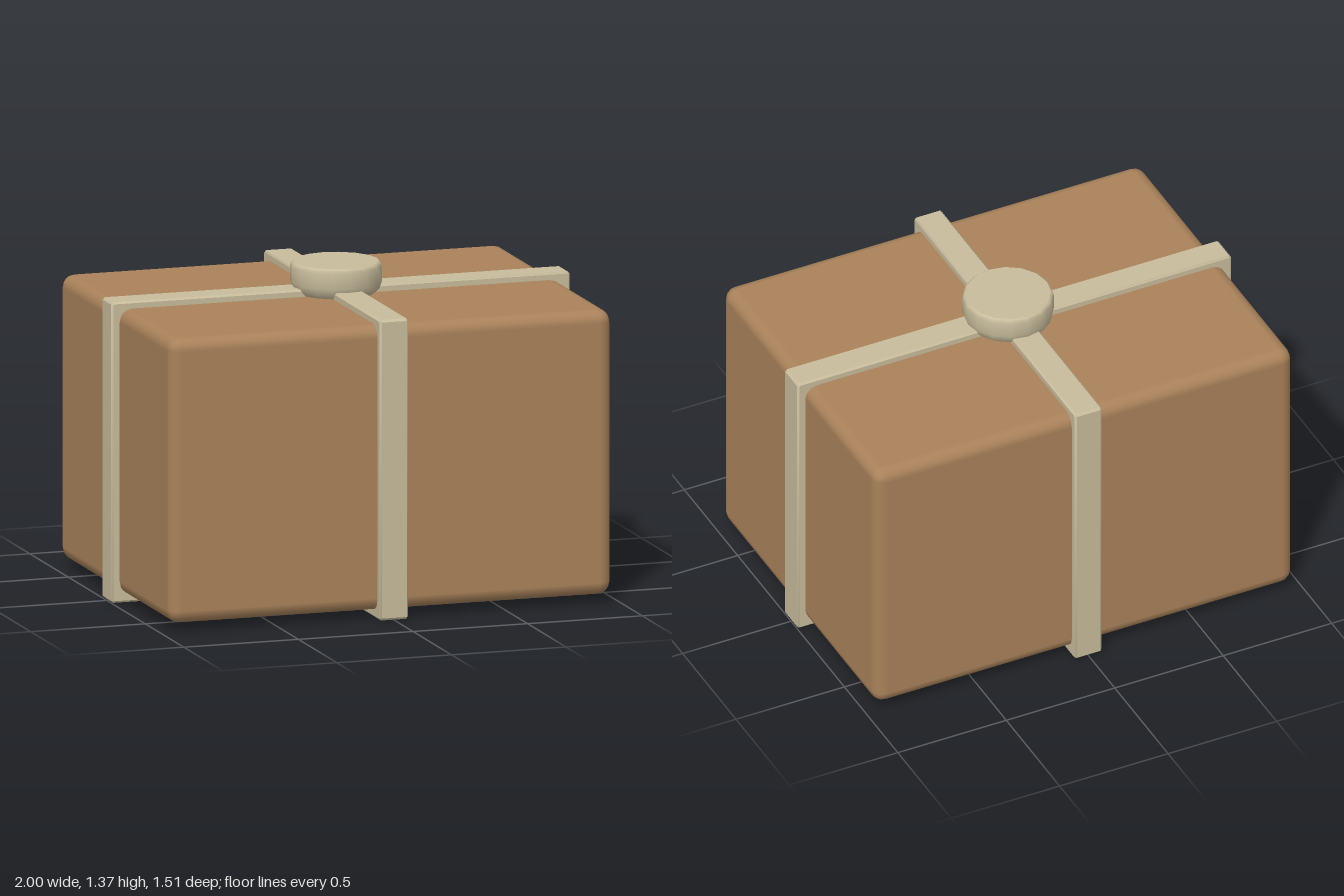
import * as THREE from 'three';
import { RoundedBoxGeometry } from 'three/addons/geometries/RoundedBoxGeometry.js';
import { toCreasedNormals } from 'three/addons/utils/BufferGeometryUtils.js';

const HEIGHT = 1.27, BAND_WIDTH = 0.125, BEVEL = 0.008;

// Rectangle outline with slightly clipped corners, centred on x, from y0 to y1
function outline(Type, halfWidth, y0, y1, c) {
  const path = new Type();
  path.moveTo(-halfWidth + c, y0);
  path.lineTo(halfWidth - c, y0);
  path.lineTo(halfWidth, y0 + c);
  path.lineTo(halfWidth, y1 - c);
  path.lineTo(halfWidth - c, y1);
  path.lineTo(-halfWidth + c, y1);
  path.lineTo(-halfWidth, y1 - c);
  path.lineTo(-halfWidth, y0 + c);
  path.closePath();
  return path;
}

// Closed strap that wraps over the top, sides and bottom
function bandGeometry(halfWidth) {
  const shape = outline(THREE.Shape, halfWidth - BEVEL, BEVEL, HEIGHT - BEVEL, 0.005);
  shape.holes.push(outline(THREE.Path, halfWidth - 0.1, 0.1, HEIGHT - 0.1, 0.005));
  const depth = BAND_WIDTH - 2 * BEVEL;
  const geometry = new THREE.ExtrudeGeometry(shape, {
    depth, bevelEnabled: true, bevelSize: BEVEL, bevelThickness: BEVEL, bevelSegments: 1,
  });
  geometry.translate(0, 0, -depth / 2);
  return toCreasedNormals(geometry, 0.6);
}

export function createModel() {
  const model = new THREE.Group();
  model.name = 'parcel';
  const cardboard = new THREE.MeshStandardMaterial({ color: 0xa9825a });
  cardboard.name = 'brown cardboard';
  const ribbon = new THREE.MeshStandardMaterial({ color: 0xc8bc9c });
  ribbon.name = 'beige ribbon';

  const add = (name, geometry, material) => {
    const mesh = new THREE.Mesh(geometry, material);
    mesh.name = name;
    model.add(mesh);
    return mesh;
  };

  // Box with softened edges
  add('box', new RoundedBoxGeometry(1.93, 1.205, 1.45, 2, 0.055), cardboard).position.y = 0.637;

  // Crossing straps
  add('longBand', bandGeometry(1), ribbon);
  add('crossBand', bandGeometry(0.757), ribbon).rotation.y = Math.PI / 2;

  // Round knot on top, tucked in at the bottom
  const profile = [
    [0, 1.24], [0.165, 1.24], [0.18, 1.255], [0.19, 1.285],
    [0.19, 1.35], [0.186, 1.363], [0.178, 1.37], [0, 1.37],
  ].map(([r, y]) => new THREE.Vector2(r, y));
  add('knot', toCreasedNormals(new THREE.LatheGeometry(profile, 16), 0.6), ribbon);

  return model;
}
